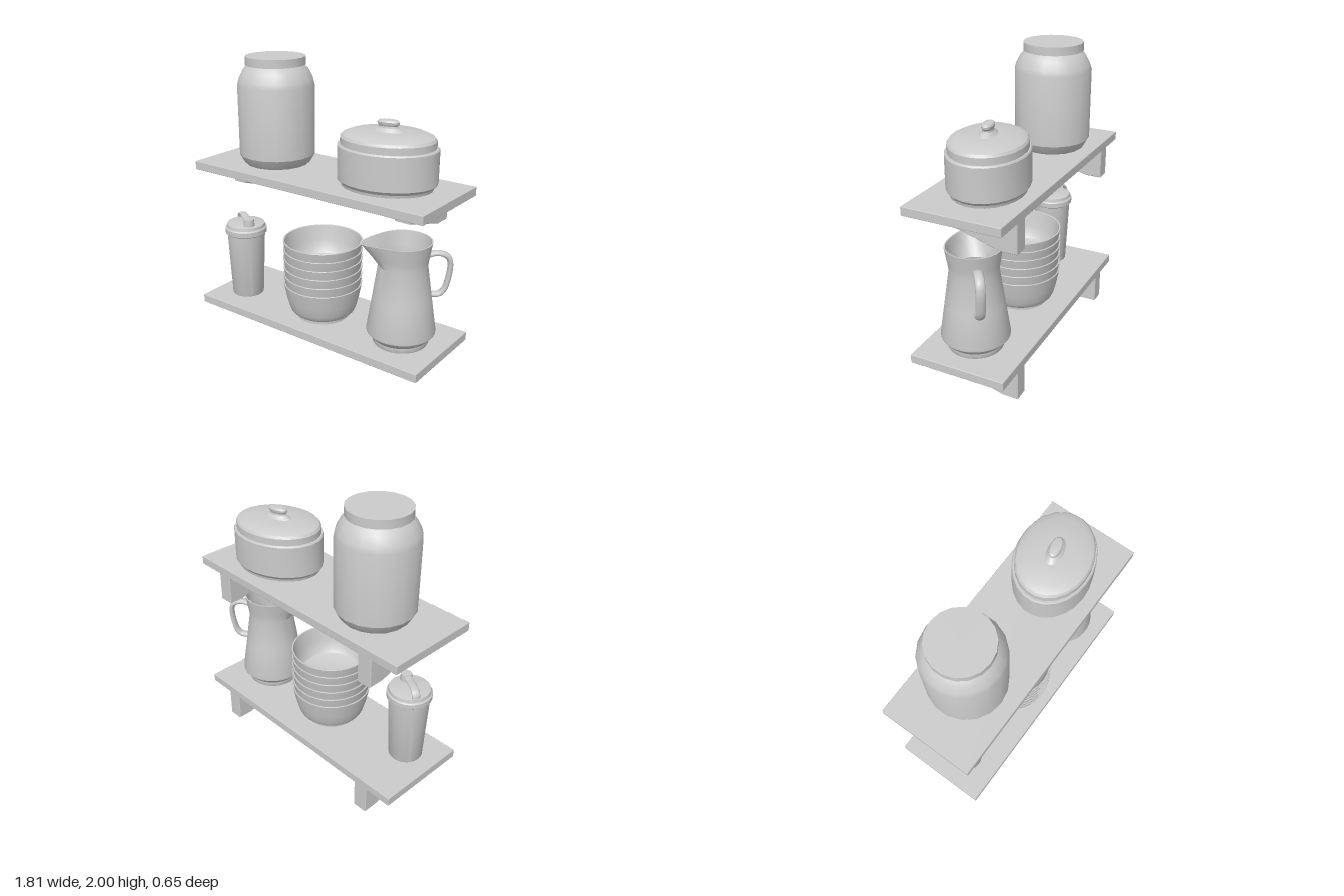
import * as THREE from 'three';
import { toCreasedNormals } from 'three/addons/utils/BufferGeometryUtils.js';
import { RoundedBoxGeometry } from 'three/addons/geometries/RoundedBoxGeometry.js';

const material = new THREE.MeshStandardMaterial({ color: 0xcccccc });

function part(name, geometry, parent) {
  const mesh = new THREE.Mesh(geometry, material);
  mesh.name = name;
  parent.add(mesh);
  return mesh;
}

function group(name, parent, x, y, z, turn = 0) {
  const g = new THREE.Group();
  g.name = name;
  g.position.set(x, y, z);
  g.rotation.y = turn;
  parent.add(g);
  return g;
}

// Profile of [radius, height] pairs, from bottom to top
function lathe(profile, sides) {
  return new THREE.LatheGeometry(profile.map(([r, y]) => new THREE.Vector2(r, y)), sides);
}

const turned = (profile, sides) => toCreasedNormals(lathe(profile, sides), 0.45);

// Flat strap: a tube along a curve in the XY plane, widened across it
function strap(points, thickness, widen) {
  const curve = new THREE.CatmullRomCurve3(points.map(([x, y]) => new THREE.Vector3(x, y, 0)));
  return new THREE.TubeGeometry(curve, 28, thickness, 10).scale(1, 1, widen);
}

// Board with two sloping brackets underneath
function addShelf(root, name, y) {
  const shelf = group(name, root, 0, y, 0);
  part('board', new RoundedBoxGeometry(1.81, 0.06, 0.655, 1, 0.005), shelf).position.y = 0.227;
  const side = new THREE.Shape([
    [-0.322, 0.005], [-0.22, 0.005], [0.142, 0.11], [0.142, 0.197], [-0.322, 0.197],
  ].map(([z, h]) => new THREE.Vector2(z, h)));
  for (const x of [-0.66, 0.66]) {
    const bracket = new THREE.ExtrudeGeometry(side, {
      depth: 0.096, bevelSize: 0.005, bevelThickness: 0.005, bevelSegments: 1,
    });
    bracket.translate(0, 0, -0.048).rotateY(-Math.PI / 2);
    part('bracket', bracket, shelf).position.x = x;
  }
}

function addJar(root) {
  const jar = group('jar', root, -0.45, 1.277, -0.015);
  part('jarBody', turned([
    [0, 0], [0.215, 0], [0.228, 0.015], [0.258, 0.068], [0.259, 0.54], [0.25, 0.575],
    [0.222, 0.63], [0.19, 0.668], [0.18, 0.675], [0, 0.675],
  ], 18), jar);
  part('jarLid', turned([[0, 0.667], [0.202, 0.667], [0.202, 0.723], [0, 0.723]], 18), jar);
}

// Oval covered dish, its long axis turned slightly
function addDish(root) {
  const dish = group('coveredDish', root, 0.45, 1.277, -0.008, 0.2);
  const oval = (name, profile, depth) =>
    part(name, toCreasedNormals(lathe(profile, 24).scale(1, 1, depth), 0.45), dish);
  oval('dishBody', [
    [0, 0], [0.295, 0], [0.3, 0.02], [0.322, 0.042], [0.323, 0.257], [0.316, 0.266], [0, 0.266],
  ], 0.79);
  oval('dishLid', [
    [0, 0.255], [0.304, 0.255], [0.304, 0.31], [0.292, 0.326], [0.24, 0.347], [0.1, 0.352], [0, 0.353],
  ], 0.79);
  oval('lidKnob', [
    [0.105, 0.35], [0.085, 0.362], [0.064, 0.374], [0.06, 0.385], [0.07, 0.396],
    [0.072, 0.41], [0.06, 0.42], [0.03, 0.424], [0, 0.425],
  ], 0.52);
}

// Lidded travel cup with a carrying strap and spout
function addCup(root) {
  const cup = group('travelCup', root, -0.685, 0.257, 0.08, -0.54);
  part('cupBody', turned([[0, 0], [0.11, 0], [0.113, 0.006], [0.135, 0.48], [0, 0.48]], 24), cup);
  part('cupLid', turned([
    [0, 0.472], [0.142, 0.472], [0.148, 0.478], [0.148, 0.512], [0.143, 0.518],
    [0.138, 0.52], [0.134, 0.542], [0.122, 0.546], [0, 0.546],
  ], 24), cup);
  part('spout', new THREE.CylinderGeometry(0.036, 0.04, 0.055, 16), cup).position.set(0.08, 0.568, 0);
  part('cupStrap', strap([
    [-0.122, 0.535], [-0.118, 0.56], [-0.1, 0.582], [-0.05, 0.589], [0.02, 0.584], [0.08, 0.586], [0.112, 0.588],
  ], 0.009, 3), cup);
}

function addBowls(root) {
  const stack = group('bowlStack', root, -0.032, 0.257, 0.02);
  const bowl = turned([
    [0, 0.012], [0.17, 0.012], [0.175, 0], [0.185, 0], [0.186, 0.026], [0.205, 0.03], [0.224, 0.047],
    [0.236, 0.075], [0.253, 0.14], [0.273, 0.242], [0.271, 0.245], [0.263, 0.243],
    [0.243, 0.14], [0.225, 0.075], [0.208, 0.052], [0.185, 0.042], [0, 0.04],
  ], 32);
  for (let i = 0; i < 6; i++) part('bowl', bowl, stack).position.y = i * 0.062;
}

// Open pitcher; the rim is drawn out to a pouring lip opposite the handle
function addPitcher(root) {
  const pitcher = group('pitcher', root, 0.606, 0.257, 0.022, 0.64);
  const body = lathe([
    [0, 0], [0.178, 0], [0.182, 0.008], [0.182, 0.035], [0.19, 0.042], [0.222, 0.078], [0.224, 0.092],
    [0.19, 0.32], [0.157, 0.545], [0.165, 0.6], [0.173, 0.65], [0.182, 0.703],
    [0.174, 0.703], [0.165, 0.65], [0.157, 0.6], [0.147, 0.545],
    [0.18, 0.32], [0.212, 0.09], [0.17, 0.045], [0, 0.04],
  ], 36);
  const p = body.attributes.position;
  for (let i = 0; i < p.count; i++) {
    const x = p.getX(i), y = p.getY(i), z = p.getZ(i);
    const rise = Math.max(0, (y - 0.545) / 0.158);
    const pull = rise * Math.max(0, -x / (Math.hypot(x, z) || 1)) ** 5;
    p.setXYZ(i, x - 0.095 * pull, y - 0.018 * pull * rise, z);
  }
  part('pitcherBody', toCreasedNormals(body, 0.5), pitcher);
  part('pitcherHandle', strap([
    [0.155, 0.605], [0.2, 0.618], [0.25, 0.612], [0.286, 0.585], [0.297, 0.53],
    [0.288, 0.45], [0.268, 0.375], [0.235, 0.338], [0.18, 0.335],
  ], 0.018, 1.7), pitcher);
}

export function createModel() {
  const root = new THREE.Group();
  root.name = 'kitchenShelves';
  addShelf(root, 'lowerShelf', 0);
  addShelf(root, 'upperShelf', 1.022);
  addJar(root);
  addDish(root);
  addCup(root);
  addBowls(root);
  addPitcher(root);
  return root;
}
